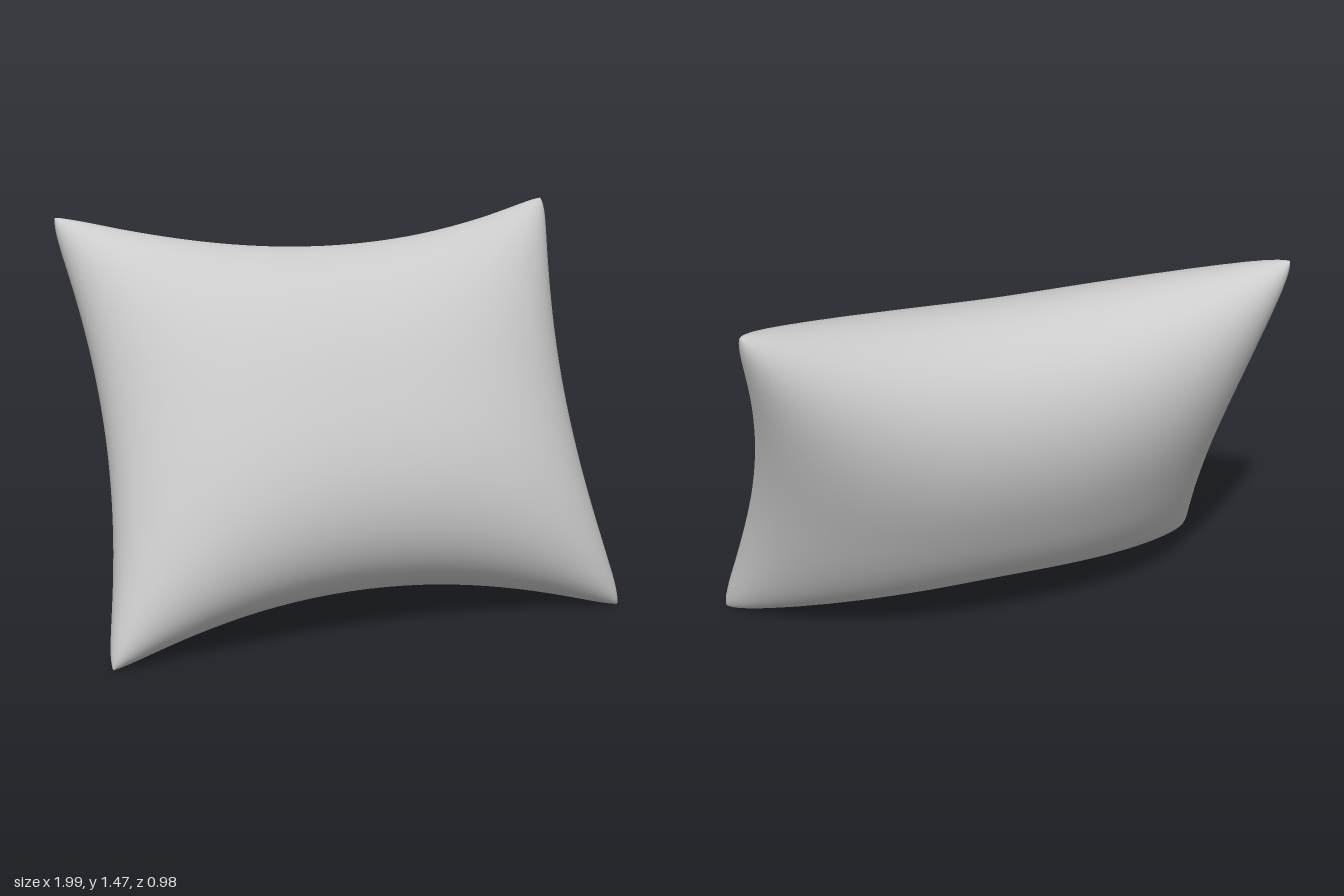
import * as THREE from 'three';
import { mergeGeometries, mergeVertices } from 'three/addons/utils/BufferGeometryUtils.js';

const SEGMENTS = 44;
const HALF_THICKNESS = 0.405;

// Fullness across the cushion: 1 in the middle, rounding off to 0 at the seam
const fullness = (s) => Math.sqrt(Math.max(0, 1 - Math.abs(s) ** 2.5));

// One bulging half: a grid whose edges curve inward between four soft corners
function cushionHalf(isBack) {
  const geometry = new THREE.PlaneGeometry(2, 2, SEGMENTS, SEGMENTS);
  const pos = geometry.attributes.position;
  for (let i = 0; i < pos.count; i++) {
    // Sine spacing packs rows near the seam
    const s = Math.sin(pos.getX(i) * Math.PI / 2);
    const t = Math.sin(pos.getY(i) * Math.PI / 2);
    const corner = 1 - 0.03 * Math.abs(s * t) ** 12;
    pos.setXYZ(
      i,
      s * (0.895 + 0.115 * t * t) * corner,
      t * (0.65 + 0.2 * s * s) * corner,
      HALF_THICKNESS * fullness(s) * fullness(t)
    );
  }
  if (isBack) geometry.rotateY(Math.PI);
  geometry.deleteAttribute('uv');
  geometry.deleteAttribute('normal');
  return geometry;
}

export function createModel() {
  const group = new THREE.Group();
  group.name = 'pillow';

  // Weld both halves along the seam for smooth shading
  const geometry = mergeVertices(mergeGeometries([cushionHalf(false), cushionHalf(true)]), 1e-5);
  geometry.computeVertexNormals();

  const cushion = new THREE.Mesh(geometry, new THREE.MeshStandardMaterial({ color: 0xcccccc }));
  cushion.name = 'cushion';
  // Leaning back, with a slight turn
  cushion.rotation.set(-0.464, -0.036, 0, 'YXZ');
  cushion.position.y = 0.745;
  group.add(cushion);
  return group;
}
